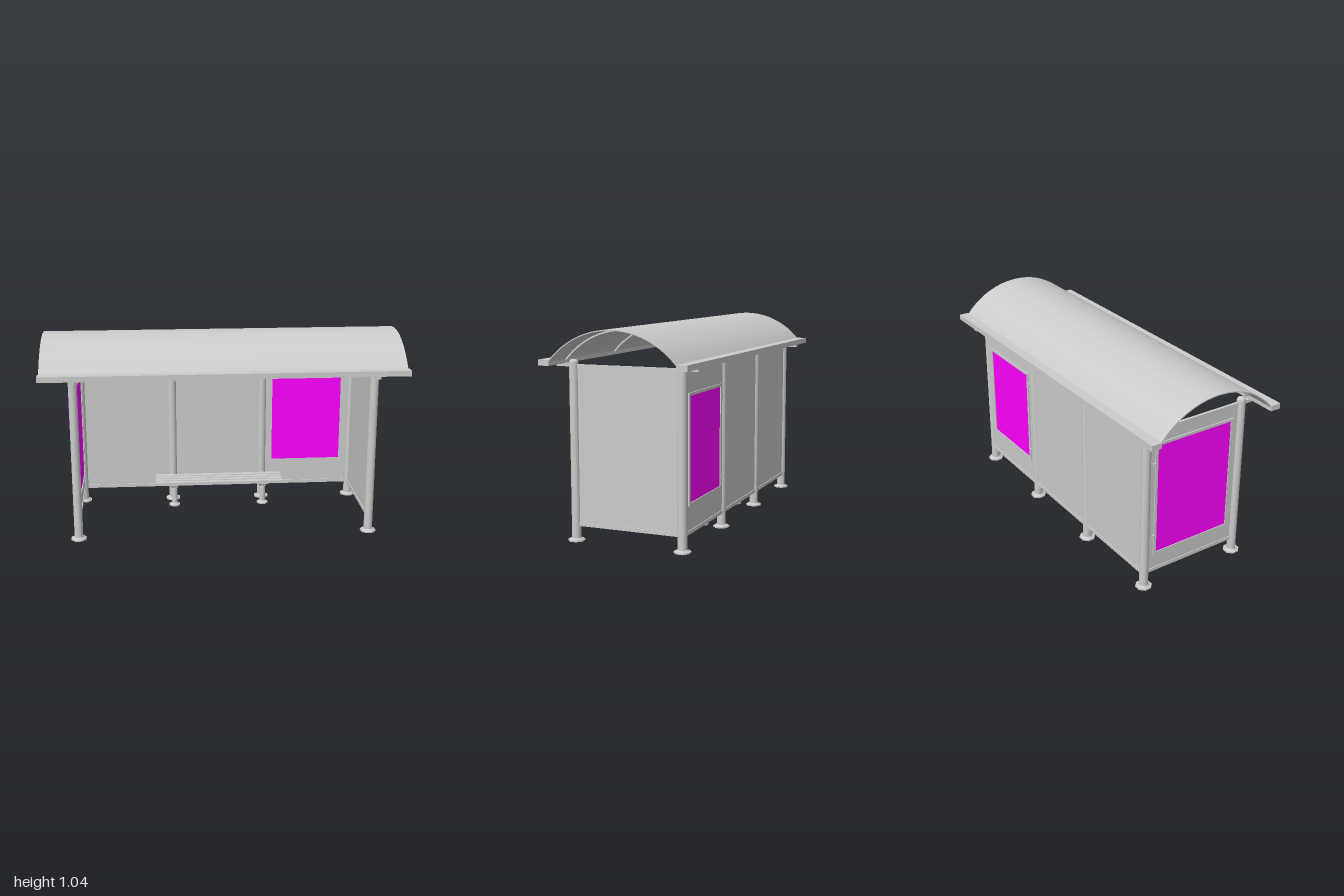
import * as THREE from 'three';

const grey = new THREE.MeshStandardMaterial({ color: 0xcccccc });
const greyThin = new THREE.MeshStandardMaterial({ color: 0xcccccc, side: THREE.DoubleSide });
const magenta = new THREE.MeshStandardMaterial({ color: 0xff00ff });

const PX = 0.764, MX = 0.255, PZ = 0.28; // post positions
const R = 0.0225;                        // post radius

function add(parent, name, geometry, x = 0, y = 0, z = 0, material = grey) {
  const mesh = new THREE.Mesh(geometry, material);
  mesh.name = name;
  mesh.position.set(x, y, z);
  parent.add(mesh);
  return mesh;
}
const box = (parent, name, w, h, d, x, y, z, m) => add(parent, name, new THREE.BoxGeometry(w, h, d), x, y, z, m);

// Round post with rounded cap and a flanged foot
function post(parent, name, x, z, height, r, foot) {
  const g = new THREE.Group();
  g.name = name;
  g.position.set(x, 0, z);
  const pts = [[r, 0], [r, height - 0.015], [r * 0.85, height - 0.005], [r * 0.5, height], [0, height]];
  add(g, 'tube', new THREE.LatheGeometry(pts.map(p => new THREE.Vector2(...p)), 24));
  const plate = add(g, 'footPlate', new THREE.CylinderGeometry(foot, foot, 0.007, 8), 0, 0.0035, 0);
  plate.rotation.y = Math.PI / 8;
  add(g, 'footCollar', new THREE.CylinderGeometry(r * 1.1, foot * 0.8, 0.008, 16), 0, 0.011, 0);
  parent.add(g);
}

// Glazed wall panel with rails, built along x and facing z
function panel(parent, name, width) {
  const g = new THREE.Group();
  g.name = name;
  box(g, 'sheet', width, 0.775, 0.007, 0, 0.47, 0);
  box(g, 'bottomRail', width, 0.018, 0.016, 0, 0.084, 0);
  box(g, 'topRail', width, 0.012, 0.014, 0, 0.856, 0);
  parent.add(g);
  return g;
}

// Poster with rectangular frame and hinges; sides lists the faces that carry a frame
function poster(parent, w, h, y, x, sides, hingeSide) {
  const g = new THREE.Group();
  g.name = 'posterCase';
  g.position.set(x, y, 0);
  box(g, 'poster', w, h, 0.011, 0, 0, 0, magenta);
  const t = 0.014;
  for (const s of sides) {
    const z = s * 0.0065;
    for (const k of [-1, 1]) {
      box(g, 'frameRail', w + 2 * t, t, 0.008, 0, k * (h + t) / 2, z);
      box(g, 'frameStile', t, h, 0.008, k * (w + t) / 2, 0, z);
      box(g, 'hinge', 0.014, 0.014, 0.012, hingeSide * (w / 2 + t + 0.004), k * 0.2, z);
    }
  }
  parent.add(g);
}

// Arched band: outer radius R0 through the springing points, extruded along x
function arch(parent, name, outerDrop, thickness, length, x) {
  const half = 0.325, rise = 0.152, r0 = (half * half + rise * rise) / (2 * rise);
  const a = Math.asin(half / r0), ro = r0 - outerDrop, ri = ro - thickness;
  const s = new THREE.Shape();
  s.absarc(0, 0, ro, Math.PI / 2 - a, Math.PI / 2 + a, false);
  s.absarc(0, 0, ri, Math.PI / 2 + a, Math.PI / 2 - a, true);
  s.closePath();
  const geo = new THREE.ExtrudeGeometry(s, { depth: length, bevelEnabled: false, curveSegments: 40 });
  geo.translate(0, 0, -length / 2);
  geo.rotateY(Math.PI / 2);
  return add(parent, name, geo, x, 1.04 - r0, 0, greyThin);
}

export function createModel() {
  const model = new THREE.Group();
  model.name = 'busShelter';
  const shelter = new THREE.Group();
  shelter.name = 'shelter';
  shelter.rotation.y = -0.295;
  model.add(shelter);

  // Corner posts with short arms carrying the gutters
  for (const sx of [-1, 1]) for (const sz of [-1, 1]) {
    post(shelter, 'cornerPost', sx * PX, sz * PZ, 0.885, R, 0.042);
    box(shelter, 'gutterArm', 0.03, 0.016, 0.1, sx * PX, 0.859, sz * 0.315);
  }
  // Intermediate posts at the back
  for (const sx of [-1, 1]) post(shelter, 'backPost', sx * MX, -PZ, 0.868, R, 0.042);

  // Three back panels, one with a poster
  const bay = PX - MX;
  for (const i of [-1, 0, 1]) {
    const p = panel(shelter, 'backPanel', bay - 0.02);
    p.position.set(i * bay, 0, -PZ - 0.006);
    if (i === 1) poster(p, 0.39, 0.505, 0.478, 0, [-1], -1);
  }
  // End panels, one with a large poster
  for (const sx of [-1, 1]) {
    const p = panel(shelter, 'endPanel', 2 * PZ - 0.03);
    p.rotation.y = Math.PI / 2;
    p.position.x = sx * PX;
    if (sx < 0) poster(p, 0.435, 0.59, 0.48, 0, [-1, 1], 1);
  }

  // Barrel roof, ribs and gutters
  arch(shelter, 'roofShell', 0, 0.005, 1.85, 0);
  for (const x of [-PX, -MX, MX, PX]) arch(shelter, 'roofRib', 0.004, 0.009, 0.016, x);
  for (const sz of [-1, 1]) box(shelter, 'gutter', 1.86, 0.028, 0.055, 0, 0.88, sz * 0.3475);

  // Slatted bench on two pedestal legs
  const bench = new THREE.Group();
  bench.name = 'bench';
  bench.position.z = -0.173;
  for (let i = 0; i < 4; i++) box(bench, 'seatSlat', 0.71, 0.012, 0.03, 0, 0.152, -0.06 + i * 0.04);
  const cradle = new THREE.Shape();
  cradle.moveTo(-0.07, 0.146);
  cradle.lineTo(-0.07, 0.136);
  cradle.quadraticCurveTo(-0.02, 0.13, -0.015, 0.105);
  cradle.lineTo(0.015, 0.105);
  cradle.quadraticCurveTo(0.02, 0.13, 0.07, 0.136);
  cradle.lineTo(0.07, 0.146);
  cradle.closePath();
  for (const sx of [-1, 1]) {
    post(bench, 'benchLeg', sx * 0.25, 0, 0.14, 0.016, 0.032);
    const geo = new THREE.ExtrudeGeometry(cradle, { depth: 0.04, bevelEnabled: false });
    geo.translate(0, 0, -0.02);
    geo.rotateY(Math.PI / 2);
    add(bench, 'seatBracket', geo, sx * 0.25, 0, 0);
  }
  shelter.add(bench);

  return model;
}
